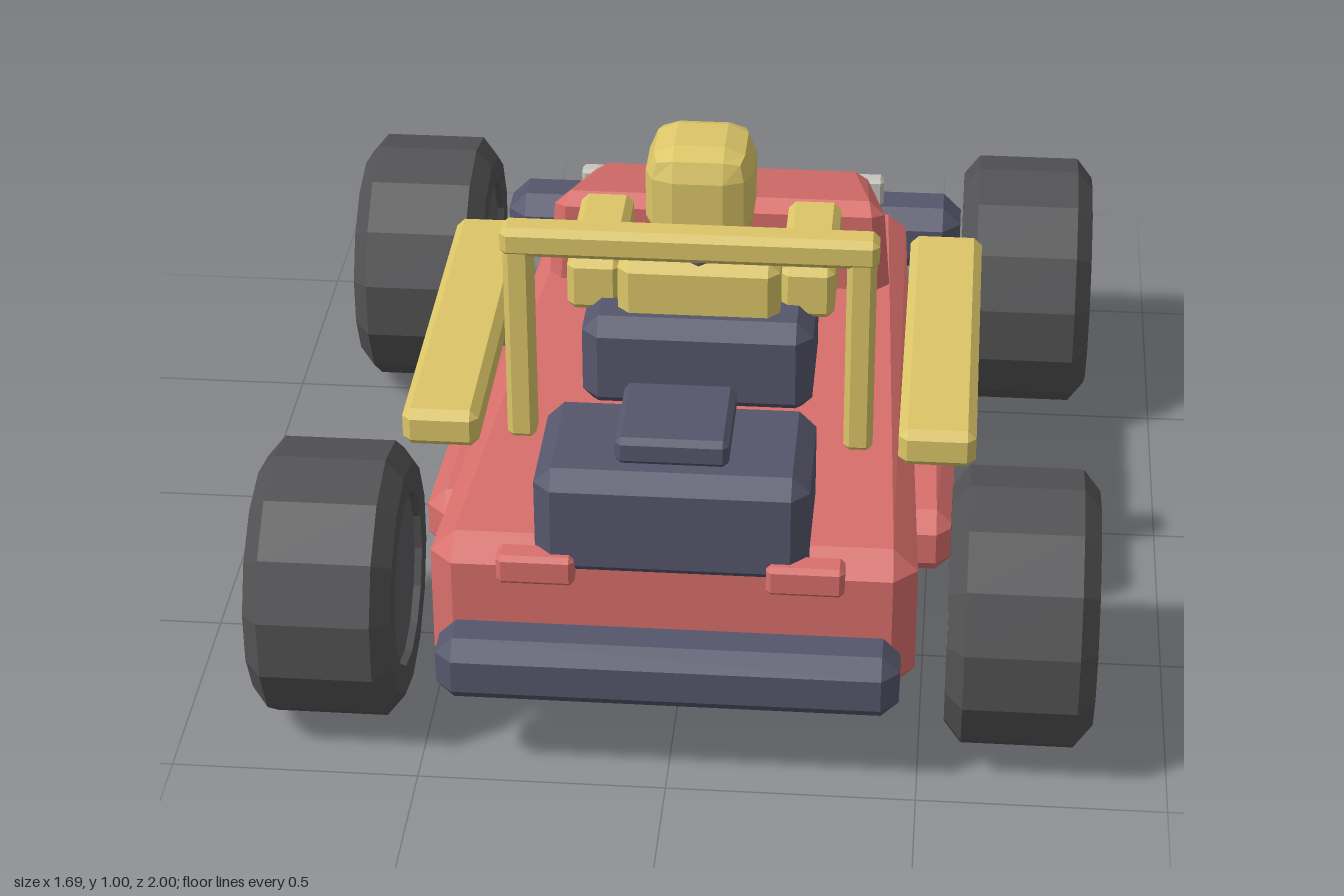
import * as THREE from 'three';
import { ConvexGeometry } from 'three/addons/geometries/ConvexGeometry.js';
import { RoundedBoxGeometry } from 'three/addons/geometries/RoundedBoxGeometry.js';

const mat = (color) => new THREE.MeshStandardMaterial({ color, flatShading: true });

// Box with every edge chamfered by b, spanning min to max on each axis
function chamferBox([x0, x1], [y0, y1], [z0, z1], b) {
  const points = [];
  for (const sx of [-1, 1]) for (const sy of [-1, 1]) for (const sz of [-1, 1]) {
    for (const axis of [0, 1, 2]) {
      const inset = [0, 1, 2].map((i) => (i === axis ? 0 : b));
      points.push(new THREE.Vector3(
        sx < 0 ? x0 + inset[0] : x1 - inset[0],
        sy < 0 ? y0 + inset[1] : y1 - inset[1],
        sz < 0 ? z0 + inset[2] : z1 - inset[2]
      ));
    }
  }
  return new ConvexGeometry(points);
}

// Move each vertex by a rule
function reshape(geometry, rule) {
  const pos = geometry.attributes.position;
  const v = new THREE.Vector3();
  for (let i = 0; i < pos.count; i++) {
    rule(v.fromBufferAttribute(pos, i));
    pos.setXYZ(i, v.x, v.y, v.z);
  }
  geometry.computeVertexNormals();
  return geometry;
}

export function createModel() {
  const kart = new THREE.Group();
  kart.name = 'kart';
  const red = mat(0xd9706c), dark = mat(0x56566c), yellow = mat(0xdcc668);
  const rubber = mat(0x525254), hubGrey = mat(0x5c5c5f), white = mat(0xc4c4bc);

  const add = (name, geometry, material) => {
    const mesh = new THREE.Mesh(geometry, material);
    mesh.name = name;
    kart.add(mesh);
    return mesh;
  };
  const box = (name, x, y, z, b, material) => add(name, chamferBox(x, y, z, b), material);
  const pair = (name, [x0, x1], y, z, b, material) => {
    box(name + 'Left', [x0, x1], y, z, b, material);
    box(name + 'Right', [-x1, -x0], y, z, b, material);
  };

  // Chassis: narrower and lower towards -z
  add('chassis', reshape(chamferBox([-0.49, 0.49], [0.125, 0.46], [-0.84, 0.85], 0.05), (v) => {
    const t = (0.85 - v.z) / 1.69;
    v.x *= 1 - 0.155 * t;
    v.y = 0.125 + (v.y - 0.125) * (1 - 0.33 * t);
  }), red);

  // Sloping hood
  add('hood', reshape(chamferBox([-0.4, 0.4], [0.3, 0.6], [-0.82, -0.375], 0.035), (v) => {
    const t = (-0.375 - v.z) / 0.445;
    const h = (v.y - 0.3) / 0.3;
    v.x *= (1 - 0.16 * t) * (1 - 0.06 * h);
    v.y -= 0.145 * t * h;
  }), red);

  // Side pods, slimmer towards -z
  for (const s of [-1, 1]) {
    const x = s > 0 ? [0.36, 0.56] : [-0.56, -0.36];
    add(s > 0 ? 'sidePodLeft' : 'sidePodRight',
      reshape(chamferBox(x, [0.14, 0.29], [-0.3, 0.43], 0.04), (v) => {
        const t = (0.43 - v.z) / 0.73;
        v.y = 0.14 + (v.y - 0.14) * (1 - 0.2 * t);
        v.x *= 1 - 0.04 * t;
      }), red);
  }

  // Bumpers, side bars and lamps
  box('noseBumper', [-0.545, 0.545], [0.165, 0.325], [-1, -0.84], 0.042, dark);
  box('engineBumper', [-0.46, 0.46], [0.17, 0.31], [0.865, 1], 0.035, dark);
  pair('sideBar', [0.435, 0.595], [0.435, 0.52], [-0.4, 0.465], 0.018, yellow);
  pair('tailLamp', [0.19, 0.345], [0.39, 0.455], [0.83, 0.89], 0.01, red);
  pair('headLamp', [0.19, 0.36], [0.355, 0.425], [-0.862, -0.82], 0.008, white);

  // Roll bar
  pair('rollPost', [0.32, 0.38], [0.44, 0.92], [0.36, 0.42], 0.012, yellow);
  box('rollTop', [-0.385, 0.385], [0.87, 0.935], [0.355, 0.425], 0.014, yellow);

  // Engine block and air intake
  box('engine', [-0.272, 0.272], [0.395, 0.635], [0.55, 0.87], 0.035, dark);
  box('airIntake', [-0.112, 0.112], [0.643, 0.702], [0.6, 0.83], 0.012, dark);

  // Seat and blocky driver
  box('seat', [-0.245, 0.245], [0.405, 0.62], [-0.06, 0.24], 0.035, dark);
  box('driverTorso', [-0.172, 0.172], [0.56, 0.74], [-0.01, 0.19], 0.025, yellow);
  pair('driverArm', [0.17, 0.285], [0.585, 0.705], [-0.195, 0.13], 0.016, yellow);
  const neck = new THREE.CylinderGeometry(0.085, 0.085, 0.08, 10);
  add('driverNeck', neck, dark).position.set(0, 0.745, 0.09);
  const head = new RoundedBoxGeometry(0.225, 0.225, 0.225, 1, 0.06);
  add('driverHead', head, yellow).position.set(0, 0.885, 0.09);

  // Steering wheel with its column bar
  const disc = add('steeringWheel', new THREE.CylinderGeometry(0.11, 0.11, 0.024, 12), dark);
  disc.rotation.x = Math.PI / 2;
  disc.scale.x = 0.8;
  disc.position.set(0, 0.715, -0.188);
  box('steeringColumn', [-0.013, 0.013], [0.575, 0.745], [-0.225, -0.19], 0.003, dark);

  // Wheels: bevelled tyre with a shallow dished hub on both faces
  const sides = 14, radius = 0.283, half = 0.148;
  const tyreProfile = [
    [0.175, -half + 0.025], [0.18, -half], [0.24, -half], [radius, -half + 0.035],
    [radius, half - 0.035], [0.24, half], [0.18, half], [0.175, half - 0.025],
  ].map(([r, y]) => new THREE.Vector2(r, y));
  const tyreGeometry = new THREE.LatheGeometry(tyreProfile, sides, Math.PI / sides);
  const hubGeometry = new THREE.CylinderGeometry(0.178, 0.178, 2 * half - 0.03, sides, 1, false, Math.PI / sides);
  for (const [end, z] of [['engineEnd', 0.715], ['noseEnd', -0.645]]) {
    for (const s of [-1, 1]) {
      const wheel = new THREE.Group();
      wheel.name = end + 'Wheel' + (s > 0 ? 'Left' : 'Right');
      const tyre = new THREE.Mesh(tyreGeometry, rubber);
      tyre.name = 'tyre';
      const hub = new THREE.Mesh(hubGeometry, hubGrey);
      hub.name = 'hub';
      wheel.add(tyre, hub);
      // Flat of the tyre rests on the ground
      wheel.rotation.z = Math.PI / 2;
      wheel.position.set(s * 0.698, radius * Math.cos(Math.PI / sides), z);
      kart.add(wheel);
    }
  }
  return kart;
}
